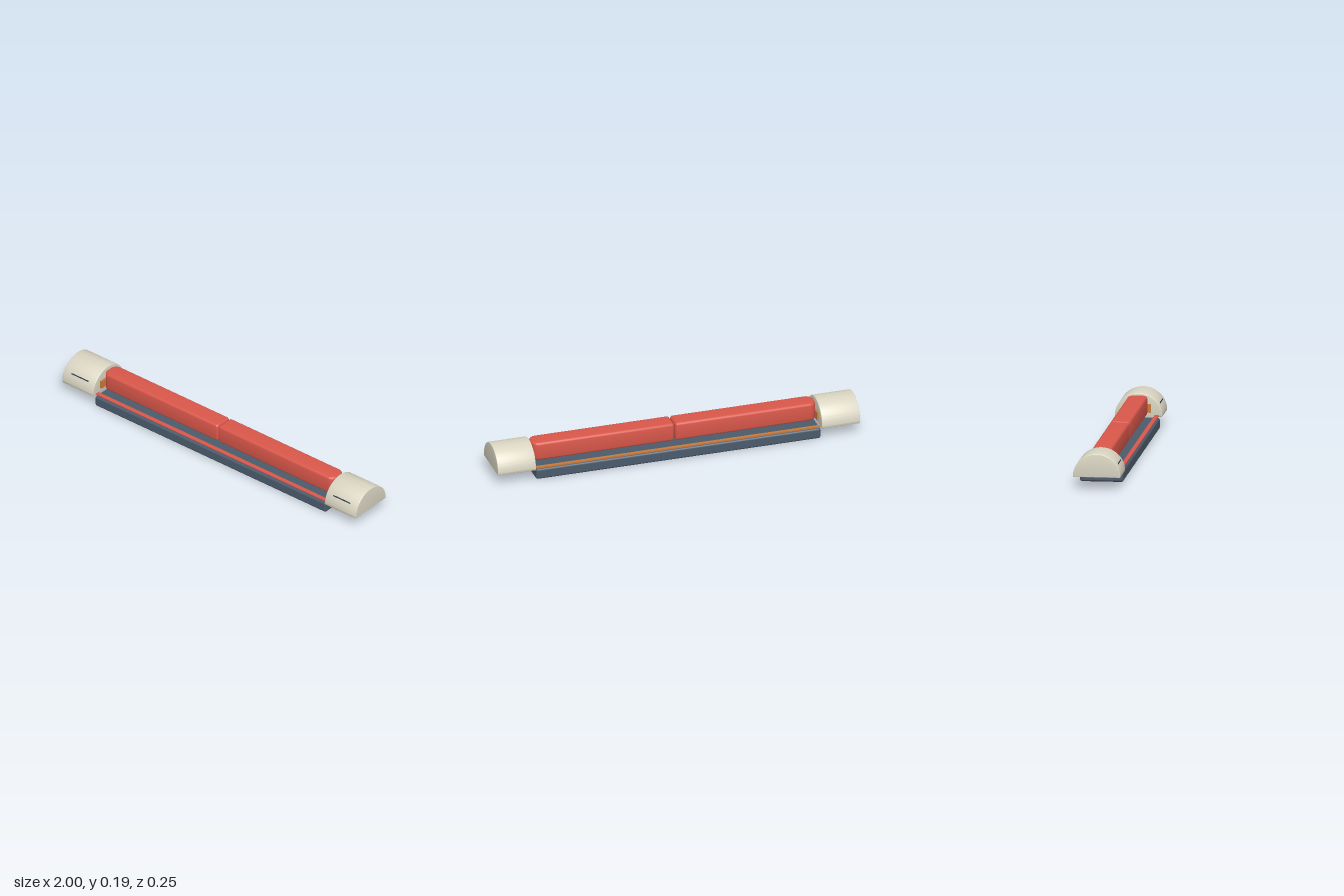
import * as THREE from 'three';
import { RoundedBoxGeometry } from 'three/addons/geometries/RoundedBoxGeometry.js';
import { toCreasedNormals } from 'three/addons/utils/BufferGeometryUtils.js';

const mat = (name, color) => {
  const m = new THREE.MeshStandardMaterial({ color });
  m.name = name;
  return m;
};

// Extrusion that keeps the outline size, with a small bevel at both ends
function extrude(shape, depth, bevel, curveSegments) {
  const g = new THREE.ExtrudeGeometry(shape, {
    depth: depth - 2 * bevel, bevelEnabled: true, bevelThickness: bevel,
    bevelSize: bevel, bevelOffset: -bevel, bevelSegments: 3, curveSegments,
  });
  g.translate(0, 0, bevel);
  return toCreasedNormals(g, 0.6);
}

export function createModel() {
  const model = new THREE.Group();
  const navy = mat('slate blue', 0x4b5b6c);
  const red = mat('red', 0xd9574a);
  const cream = mat('cream', 0xdad5c2);
  const orange = mat('orange', 0xc97a3a);
  const dark = mat('dark slot', 0x2b3645);

  const add = (name, geometry, material, x = 0, y = 0, z = 0) => {
    const mesh = new THREE.Mesh(geometry, material);
    mesh.name = name;
    mesh.position.set(x, y, z);
    model.add(mesh);
    return mesh;
  };

  // Base tray
  add('base', new RoundedBoxGeometry(1.572, 0.06, 0.23, 4, 0.012), navy, 0, 0.03, 0);

  // Half-round section of the end caps, with slightly rounded lower corners
  const R = 0.126, c = 0.004;
  const section = new THREE.Shape();
  section.moveTo(-R + c, 0);
  section.lineTo(R - c, 0);
  section.quadraticCurveTo(R, 0, R, c);
  section.absellipse(0, c, R, 0.125 - c, 0, Math.PI, false);
  section.quadraticCurveTo(-R, 0, -R + c, 0);
  const capGeometry = extrude(section, 0.21, 0.003, 40);
  capGeometry.rotateY(Math.PI / 2);

  // Plan outline of one bar: rounder at the outer end than at the middle
  const L = 0.781, w = 0.052, ro = 0.04, ri = 0.012;
  const plan = new THREE.Shape();
  plan.moveTo(ri, -w);
  plan.lineTo(L - ro, -w);
  plan.absarc(L - ro, -w + ro, ro, -Math.PI / 2, 0, false);
  plan.absarc(L - ro, w - ro, ro, 0, Math.PI / 2, false);
  plan.lineTo(ri, w);
  plan.absarc(ri, w - ri, ri, Math.PI / 2, Math.PI, false);
  plan.absarc(ri, -w + ri, ri, Math.PI, Math.PI * 1.5, false);
  const barGeometry = extrude(plan, 0.1, 0.012, 10);
  barGeometry.rotateX(-Math.PI / 2);

  for (const [side, s] of [['left', 1], ['right', -1]]) {
    add(`${side}EndCap`, capGeometry, cream, s > 0 ? 0.79 : -1, 0.062, 0);

    const bar = add(`${side}Bar`, barGeometry, red, s * 0.003, 0.078, 0);
    if (s < 0) bar.rotation.y = Math.PI;

    // Thin slot on the front of each cap
    const slot = add(`${side}Slot`, new THREE.BoxGeometry(0.115, 0.006, 0.006),
      dark, s * 0.892, 0.128, 0.1065);
    slot.rotation.x = -0.55;

    // Contact plate between bar and cap
    add(`${side}Contact`, new THREE.BoxGeometry(0.01, 0.045, 0.135), orange, s * 0.783, 0.108, 0);
  }

  // Long strips over the front and rear edges of the base
  add('frontStrip', new RoundedBoxGeometry(1.57, 0.008, 0.024, 2, 0.003), red, 0, 0.069, 0.097);
  add('rearStrip', new THREE.BoxGeometry(1.57, 0.008, 0.018), orange, 0, 0.068, -0.105);

  return model;
}
